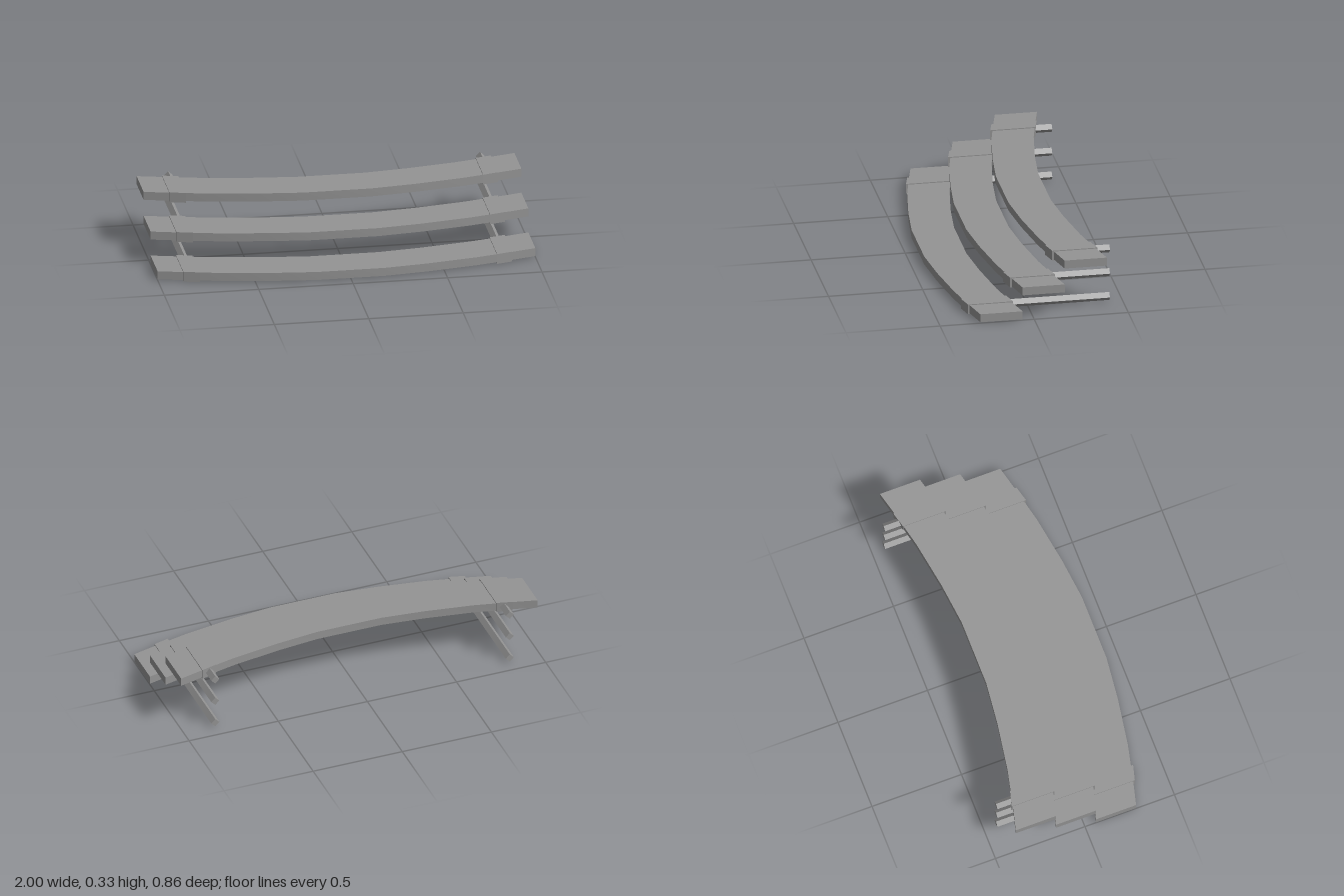
import * as THREE from 'three';
import { toCreasedNormals } from 'three/addons/utils/BufferGeometryUtils.js';

const material = new THREE.MeshStandardMaterial({ color: 0x949494 });

// Extrude a plan outline of [x, z] points, centred on height 0
function slab(points, height) {
  const shape = new THREE.Shape(points.map(([x, z]) => new THREE.Vector2(x, -z)));
  const geometry = new THREE.ExtrudeGeometry(shape, { depth: height, bevelEnabled: false });
  geometry.translate(0, 0, -height / 2);
  geometry.rotateX(-Math.PI / 2);
  return toCreasedNormals(geometry, 0.5);
}

function addMesh(parent, name, geometry) {
  const mesh = new THREE.Mesh(geometry, material);
  mesh.name = name;
  parent.add(mesh);
  return mesh;
}

export function createModel() {
  const model = new THREE.Group();
  model.name = 'curvedSteps';

  // Bowed front edge, from the middle out to one end
  const half = [[0.18, 0], [0.41, -0.025], [0.67, -0.067], [0.87, -0.113], [1, -0.146]];
  const edge = [...half.map(([x, z]) => [-x, z]).reverse(), ...half];
  const depth = 0.2245;
  const outline = [...edge, ...edge.map(([x, z]) => [x, z - depth]).reverse()];
  const treadGeometry = slab(outline, 0.045);

  for (let i = 0; i < 3; i++) {
    const step = new THREE.Group();
    step.name = 'step' + (i + 1);
    const frontZ = 0.432 - i * 0.2238;
    step.position.set(0, 0.028 + i * 0.135, frontZ);
    model.add(step);

    // Curved tread
    addMesh(step, 'tread', treadGeometry);

    for (const side of [1, -1]) {
      const prefix = side > 0 ? 'left' : 'right';

      // Skewed sleeve wrapped round the tread
      const sleeve = [[0.787, -0.082], [0.87, -0.104], [0.87, -0.344], [0.787, -0.322]];
      addMesh(step, prefix + 'Bracket', slab(sleeve.map(([x, z]) => [side * x, z]), 0.055));

      // Four-sided rod set on edge, running back to a common plane
      const startZ = -0.2;
      const length = 0.431 + frontZ + startZ;
      const rod = new THREE.CylinderGeometry(0.0225, 0.0225, length, 4).toNonIndexed();
      rod.rotateX(Math.PI / 2);
      rod.computeVertexNormals();
      addMesh(step, prefix + 'Rod', rod).position.set(side * 0.826, 0, startZ - length / 2);
    }
  }
  return model;
}
